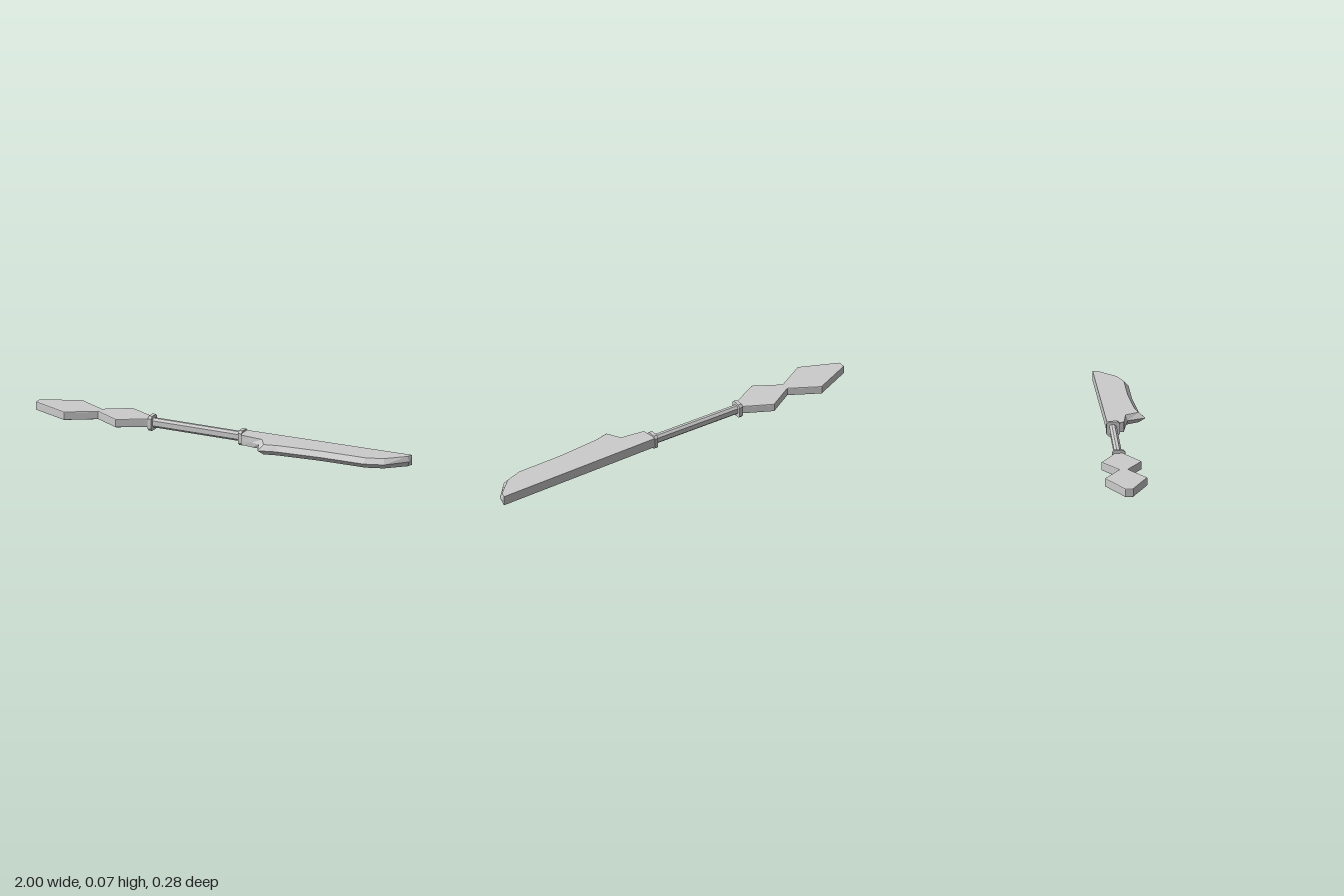
import * as THREE from 'three';

const material = new THREE.MeshStandardMaterial({ color: 0xcccccc, flatShading: true });
const MID_Y = 0.038;

function addMesh(parent, name, geometry) {
  const mesh = new THREE.Mesh(geometry, material);
  mesh.name = name;
  parent.add(mesh);
  return mesh;
}

// Bar along x with a chamfered rectangular section (height in y, width in z)
function chamferedBar(length, height, width, c) {
  const a = width / 2, b = height / 2;
  const points = [[a, c - b], [a, b - c], [a - c, b], [c - a, b], [-a, b - c], [-a, c - b], [c - a, -b], [a - c, -b]];
  const shape = new THREE.Shape(points.map(([x, y]) => new THREE.Vector2(x, y)));
  const geometry = new THREE.ExtrudeGeometry(shape, { depth: length, bevelEnabled: false });
  return geometry.translate(0, 0, -length / 2).rotateY(Math.PI / 2);
}

// Plate from an outline and an inset outline of [x, z] points: the faces use the
// inset, the ridge halfway up uses the outline
function ridgedPlate(outline, inset, y0, y1) {
  const n = outline.length;
  const loops = [[inset, y0], [outline, (y0 + y1) / 2], [inset, y1]];
  const positions = loops.flatMap(([loop, y]) => loop.flatMap(([x, z]) => [x, y, z]));
  const index = [];
  for (let k = 0; k < 2; k++) {
    for (let i = 0; i < n; i++) {
      const a = k * n + i, b = k * n + (i + 1) % n;
      index.push(a, b, b + n, a, b + n, a + n);
    }
  }
  const flat = inset.map(([x, z]) => new THREE.Vector2(x, -z));
  for (const [a, b, c] of THREE.ShapeUtils.triangulateShape(flat, [])) {
    index.push(a + 2 * n, b + 2 * n, c + 2 * n, c, b, a);
  }
  const geometry = new THREE.BufferGeometry();
  geometry.setAttribute('position', new THREE.Float32BufferAttribute(positions, 3));
  geometry.setIndex(index);
  const result = geometry.toNonIndexed();
  result.computeVertexNormals();
  return result;
}

export function createModel() {
  const model = new THREE.Group();
  model.name = 'bladedStaff';

  // Blade: square spine and tip, cutting edge bevelled from both faces
  const outline = [[0.11, -0.06], [0.12, 0.022], [0.185, 0.034], [0.228, 0.05], [0.265, 0.138], [0.35, 0.115],
    [0.59, 0.1], [0.815, 0.1], [0.91, 0.07], [1, -0.025], [1, -0.06]];
  const inset = [[0.11, -0.06], [0.12, 0.022], [0.185, 0.032], [0.243, 0.04], [0.282, 0.107], [0.35, 0.092],
    [0.58, 0.077], [0.815, 0.077], [0.9, 0.05], [0.99, -0.03], [1, -0.06]];
  addMesh(model, 'blade', ridgedPlate(outline, inset, 0.014, 0.064));

  // Handle, slightly tilted between the two collars
  const handle = addMesh(model, 'handle', chamferedBar(0.5, 0.047, 0.036, 0.011));
  handle.position.set(-0.14, MID_Y, -0.038);
  handle.rotation.y = -0.0225;

  for (const [name, x, z] of [['rearCollar', -0.385, -0.043], ['bladeCollar', 0.105, -0.032]]) {
    const collar = addMesh(model, name, chamferedBar(0.018, 0.074, 0.066, 0.012));
    collar.position.set(x, 0.037, z);
    collar.rotation.y = -0.0225;
  }

  // Tail: two joined diamonds with a fine bevel
  const tail = [[-1, -0.06], [-1, -0.022], [-0.81, 0.062], [-0.665, -0.02], [-0.535, 0.056], [-0.38, -0.025],
    [-0.38, -0.06], [-0.535, -0.14], [-0.665, -0.063], [-0.81, -0.145]];
  const bevel = 0.005;
  const tailGeometry = new THREE.ExtrudeGeometry(new THREE.Shape(tail.map(([x, z]) => new THREE.Vector2(x, -z))), {
    depth: 0.043 - 2 * bevel, bevelThickness: bevel, bevelSize: bevel, bevelOffset: -bevel, bevelSegments: 2,
  });
  tailGeometry.rotateX(-Math.PI / 2).translate(0, 0.0175 + bevel, 0);
  addMesh(model, 'diamondTail', tailGeometry);

  return model;
}
